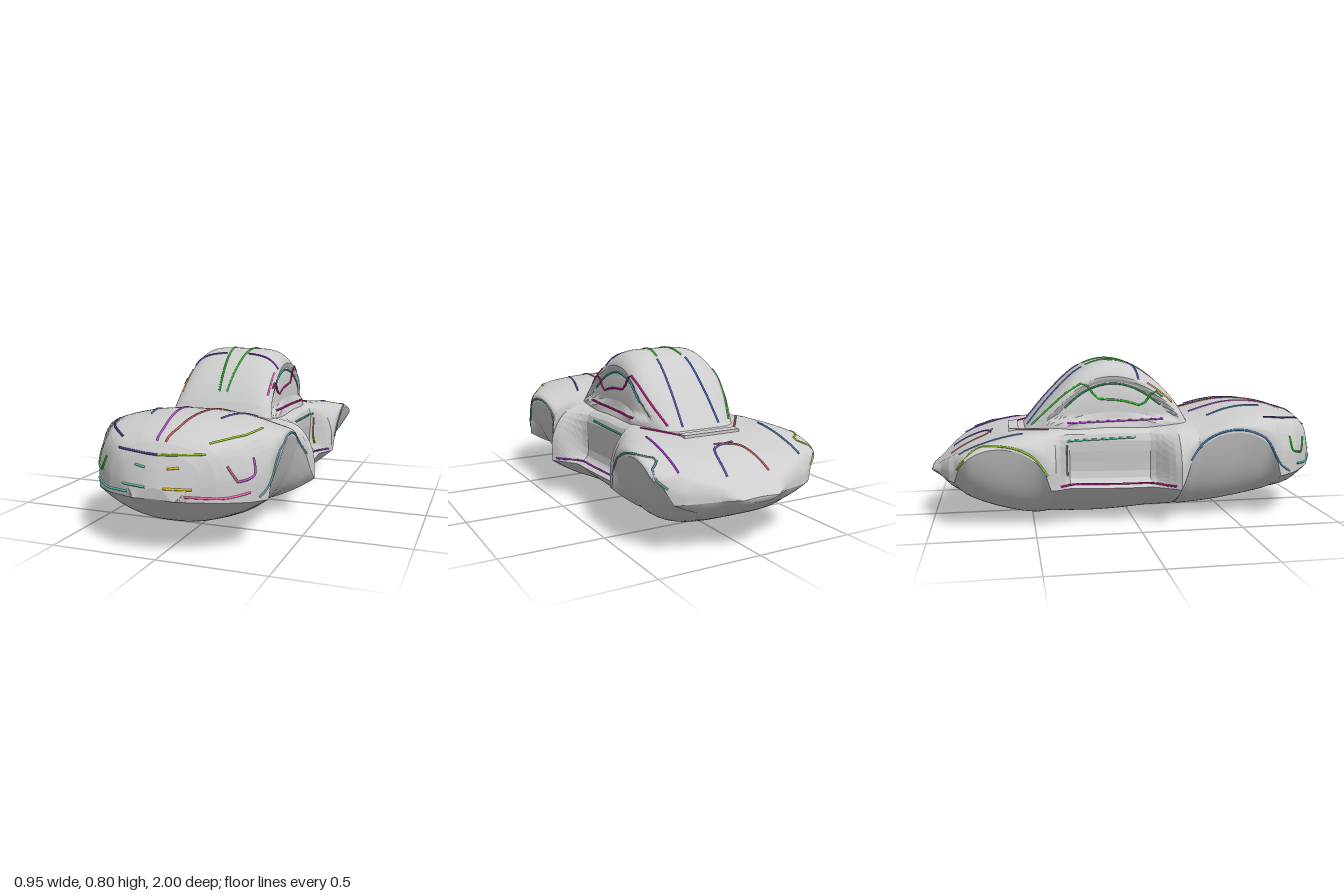
import * as THREE from 'three';

const { lerp, smoothstep } = THREE.MathUtils;

// Curve through a few [z, value] pairs, smooth or straight between them
function profile(Interpolant, ...pairs) {
  const track = new Interpolant(pairs.map((p) => p[0]), pairs.map((p) => p[1]), 1, [0]);
  return (z) => track.evaluate(z)[0];
}
const smooth = THREE.CubicInterpolant, straight = THREE.LinearInterpolant;

// Plan outline, deck height, underside keel and roof line
const halfWidth = profile(straight, [-1, .1], [-.95, .17], [-.9, .32], [-.82, .44], [-.5, .435], [-.39, .42], [-.33, .37],
  [.08, .38], [.2, .475], [.3, .42], [.6, .435], [.72, .41], [.82, .365], [.92, .26], [1, .1]);
const deck = profile(smooth, [-1, .26], [-.85, .37], [-.7, .43], [-.5, .465], [-.2, .5], [.2, .5], [.55, .57],
  [.82, .53], [.95, .45], [1, .31]);
const keel = profile(smooth, [-1, .24], [-.8, .12], [-.5, .025], [-.2, 0], [.2, .03], [.6, .088], [.85, .13], [1, .26]);
const roof = profile(smooth, [-.55, .44], [-.4, .62], [-.25, .755], [-.08, .797], [.1, .72], [.25, .56], [.29, .48]);
const cabinWidth = (z) => .27 - .1 * smoothstep(-z, .3, .6);

// Sill height, raised over each wheel arch
const arch = (z, centre, radius) => Math.sqrt(Math.max(0, 1 - ((z - centre) / radius) ** 2));
const sill = (z) => .19 + .07 * z * z + .25 * arch(z, .47, .25) + .19 * arch(z, -.65, .22);

// Fender, door and deck section, from the right sill over the top to the left sill
function upperSection(z) {
  const w = halfWidth(z), ye = sill(z), yc = deck(z);
  const ws = w * .82;
  const ys = yc - .05 * smoothstep(z, -.6, -.2);
  const door = smoothstep(z, -.4, -.32) * (1 - smoothstep(z, .08, .18));
  const half = [
    new THREE.Vector3(w, ye, z),
    new THREE.Vector3(lerp(w, ws, .12 + .7 * door), lerp(ye, ys, .55 - .4 * door), z),
    new THREE.Vector3(ws, ys, z),
    new THREE.Vector3(ws * .55, lerp(ys, yc, .75), z),
  ];
  const mirrored = half.map((p) => new THREE.Vector3(-p.x, p.y, z));
  return new THREE.CatmullRomCurve3([...mirrored, new THREE.Vector3(0, yc, z), ...half.reverse()]).getPoints(40);
}

// Rounded underside between the sills, with steep flanks that fill the wheel arches
function bellySection(z) {
  const ye = sill(z), yb = keel(z);
  const power = 2.1 + 12 * Math.max(0, ye - .22);
  return Array.from({ length: 49 }, (_, i) => {
    const t = Math.sin((i / 24 - 1) * Math.PI / 2);
    return new THREE.Vector3(halfWidth(z) * t, yb + (ye - yb) * Math.abs(t) ** power, z);
  });
}

// Boxy arch with the side windows softly set in
function cabinSection(z) {
  const base = .4, top = roof(z), w = cabinWidth(z);
  return Array.from({ length: 49 }, (_, i) => {
    const a = Math.PI * i / 48;
    const x = w * Math.sign(Math.cos(a)) * Math.abs(Math.cos(a)) ** .4;
    const y = base + (top - base) * Math.sin(a) ** .6;
    const inset = .025 * smoothstep(y, .49, .53) * smoothstep(top - y, .07, .11) * smoothstep(Math.abs(x), .15, .2);
    return new THREE.Vector3(x - Math.sign(x) * inset, y, z);
  });
}

// Surface through sections spaced evenly from z0 to z1; closed ends shrink to a point
function loft(section, z0, z1, steps, closed) {
  const rows = Array.from({ length: steps + 1 }, (_, i) => section(lerp(z0, z1, i / steps)));
  if (closed) {
    const tip = (z) => rows[0].map(() => new THREE.Vector3(0, .265, z));
    rows.unshift(tip(z0));
    rows.push(tip(z1));
  }
  const n = rows[0].length;
  const index = [];
  for (let i = 0; i < rows.length - 1; i++) {
    for (let j = 0; j < n - 1; j++) {
      const a = i * n + j, b = a + n;
      index.push(a, b, a + 1, b, b + 1, a + 1);
    }
  }
  const geo = new THREE.BufferGeometry().setFromPoints(rows.flat());
  geo.setIndex(index);
  geo.computeVertexNormals();
  return geo;
}

function addMesh(group, name, geo, material) {
  const mesh = new THREE.Mesh(geo, material);
  mesh.name = name;
  group.add(mesh);
  return mesh;
}

const grey = (flatShading) => new THREE.MeshStandardMaterial({ color: 0xcccccc, flatShading, side: THREE.DoubleSide });

// Directions from which outlines are laid onto the surfaces
const VIEWS = {
  top: (x, z) => [new THREE.Vector3(x, 2, z), new THREE.Vector3(0, -1, 0)],
  front: (x, y) => [new THREE.Vector3(x, y, 2), new THREE.Vector3(0, 0, -1)],
  side: (z, y) => [new THREE.Vector3(-2, y, z), new THREE.Vector3(1, 0, 0)],
};

// Points of a height rule along z, for side outlines
const along = (z0, z1, height) => Array.from({ length: 9 }, (_, i) => {
  const z = lerp(z0, z1, i / 8);
  return [z, height(z)];
});

export function createModel() {
  const group = new THREE.Group();
  group.name = 'car';

  // Body shell, underside and cabin
  const shell = addMesh(group, 'bodyShell', loft(upperSection, -1, 1, 80, true), grey(true));
  addMesh(group, 'underside', loft(bellySection, -1, 1, 80, true), grey(false));
  const cabin = addMesh(group, 'cabin', loft(cabinSection, -.55, .29, 42, false), grey(true));

  // Ledge below the rear window
  const ledge = addMesh(group, 'rearLedge', new THREE.BoxGeometry(.3, .03, .05), grey(true));
  ledge.position.set(0, .447, -.59);

  // Thin coloured outlines, mirrored with their own colour on each side
  const outlines = new THREE.Group();
  outlines.name = 'outlines';
  group.add(outlines);
  const ray = new THREE.Raycaster();
  const line = (name, view, rightColor, leftColor, ...points) => {
    const drawn = new THREE.SplineCurve(points.map(([a, b]) => new THREE.Vector2(a, b)));
    const path = [];
    for (const p of drawn.getPoints(14)) {
      ray.set(...VIEWS[view](p.x, p.y));
      const hit = ray.intersectObjects([shell, cabin])[0];
      if (hit) path.push(hit.point.addScaledVector(ray.ray.direction, -.001));
    }
    for (const side of [1, -1]) {
      const curve = new THREE.CatmullRomCurve3(path.map((p) => new THREE.Vector3(p.x * side, p.y, p.z)));
      const material = new THREE.MeshStandardMaterial({ color: side > 0 ? leftColor : rightColor });
      addMesh(outlines, name, new THREE.TubeGeometry(curve, 20, .005, 6), material);
    }
  };

  // Hood, fenders and roof
  line('hoodCentreLine', 'top', 'indianred', 'mediumorchid', [-.1, .32], [-.02, .92]);
  line('hoodSideLine', 'top', 'slateblue', 'steelblue', [-.24, .38], [-.17, .68]);
  line('fenderLine', 'top', 'yellowgreen', 'darkslateblue', [-.35, .64], [-.31, .76], [-.2, .88]);
  line('roofCentreLine', 'top', 'limegreen', 'limegreen', [-.07, -.22], [-.02, .22]);
  line('roofRearLine', 'top', 'slateblue', 'royalblue', [-.08, -.24], [-.1, -.52]);
  line('roofFrontLine', 'top', 'blueviolet', 'slateblue', [-.06, 0], [-.23, .03]);
  line('roofSideLine', 'top', 'mediumvioletred', 'limegreen', [-.24, .15], [-.23, -.3], [-.17, -.5]);

  // Rear lid and rear fenders
  line('lidSideLine', 'top', 'slateblue', 'indianred', [.05, -.7], [-.07, -.74], [-.11, -.9]);
  line('rearFenderLine', 'top', 'darkorchid', 'steelblue', [-.31, -.55], [-.32, -.85]);
  line('rearDeckLine', 'top', 'mediumvioletred', 'indianred', [-.13, -.6], [-.27, -.42]);

  // Nose, grille, lamps and bumper
  line('pillarLine', 'front', 'hotpink', 'sandybrown', [-.23, .59], [-.225, .69]);
  line('noseLine', 'front', 'yellowgreen', 'darkslateblue', [-.2, .45], [0, .44]);
  line('upperGrilleLine', 'front', 'gold', 'mediumaquamarine', [-.1, .395], [-.05, .388]);
  line('lowerGrilleLine', 'front', 'gold', 'mediumaquamarine', [-.16, .31], [-.04, .31]);
  line('lampOuterLine', 'front', 'mediumorchid', 'limegreen', [-.36, .42], [-.37, .35], [-.32, .33]);
  line('lampInnerLine', 'front', 'palevioletred', 'limegreen', [-.32, .33], [-.28, .4]);
  line('bumperLine', 'front', 'hotpink', 'mediumturquoise', [-.36, .28], [-.28, .268], [-.13, .28]);

  // Wheel arches, sills, belt and windows
  const edge = (z) => sill(z) + .015;
  line('frontArchLine', 'side', 'cadetblue', 'steelblue', ...along(.78, .25, edge));
  line('rearArchLine', 'side', 'cadetblue', 'yellowgreen', ...along(-.44, -.86, edge));
  line('sillLine', 'side', 'darkorchid', 'mediumvioletred', ...along(.18, -.38, edge));
  line('beltLine', 'side', 'mediumseagreen', 'mediumaquamarine', [0, .43], [-.34, .42]);
  line('windowTopLine', 'side', 'lightseagreen', 'seagreen', ...along(.14, -.34, (z) => roof(z) - .11));
  line('windowSillLine', 'side', 'mediumvioletred', 'mediumorchid', [.15, .51], [-.33, .5]);
  line('doorLine', 'side', 'darkgoldenrod', 'cadetblue', [-.34, .25], [-.34, .4]);
  return group;
}
